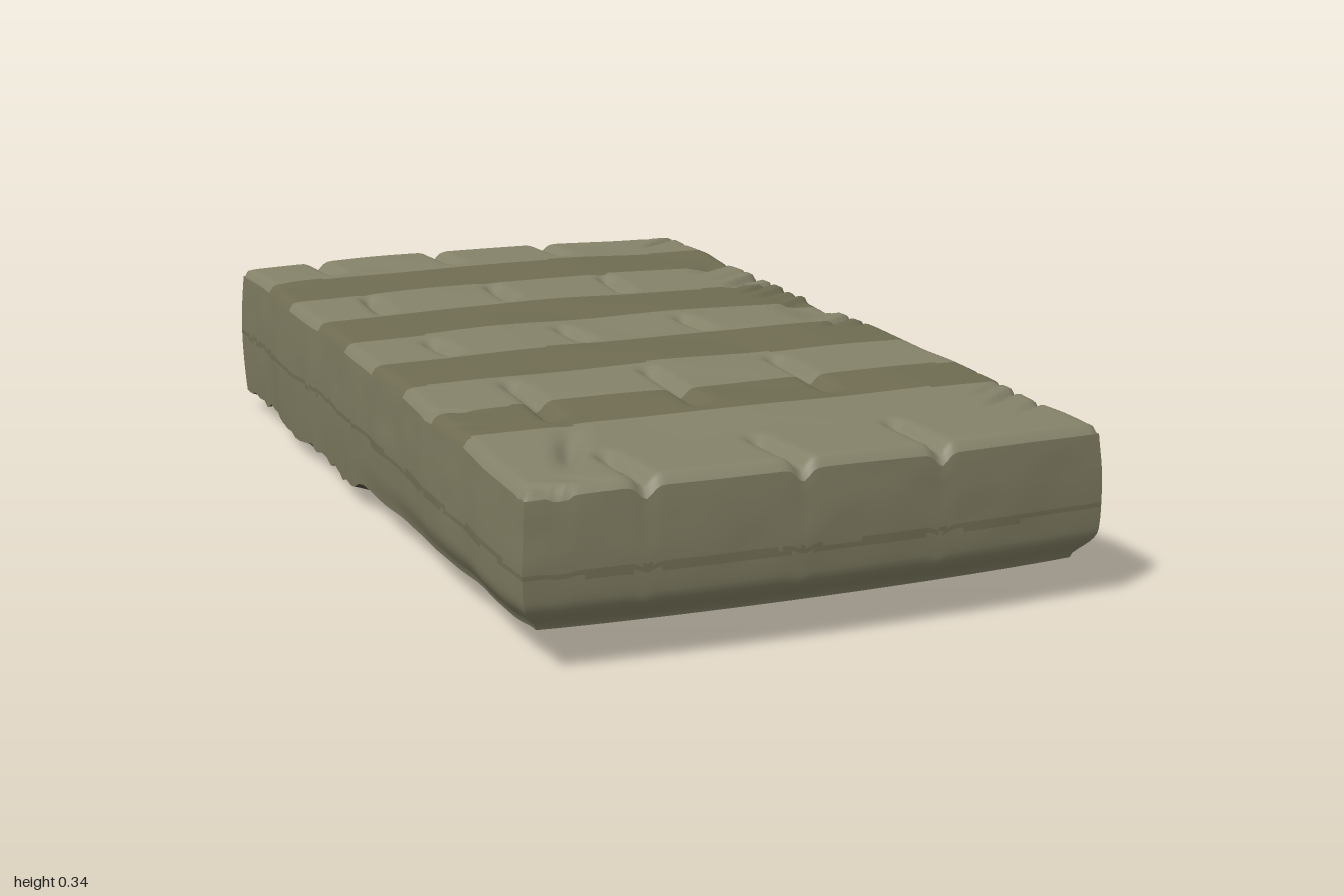
import * as THREE from 'three';

// Smooth value noise in 0..1
const hash = (i, j) => {
  const s = Math.sin(i * 127.1 + j * 311.7) * 43758.5453;
  return s - Math.floor(s);
};
function noise(x, y) {
  const i = Math.floor(x), j = Math.floor(y);
  const f = x - i, g = y - j;
  const a = f * f * (3 - 2 * f), b = g * g * (3 - 2 * g);
  const lo = hash(i, j) + (hash(i + 1, j) - hash(i, j)) * a;
  const hi = hash(i, j + 1) + (hash(i + 1, j + 1) - hash(i, j + 1)) * a;
  return lo + (hi - lo) * b;
}
const step = THREE.MathUtils.smoothstep;
const lerp = THREE.MathUtils.lerp;
const inside = (t, [a, b]) => t > a && t < b;

// Slightly skewed rectangular plan, u and v run -1..1
function plan(u, v) {
  const left = -0.53 - 0.027 * v - 0.008 * v * v + 0.01 * (noise(v * 9, 3) - 0.5);
  const right = 0.55 - 0.012 * v - 0.007 * v * v + 0.01 * (noise(v * 9, 7) - 0.5);
  const front = 0.965 + 0.025 * (1 - u * u);
  const back = -0.978 + 0.008 * u - 0.018 * (1 - u * u);
  return [lerp(left, right, (u + 1) / 2), lerp(back, front, (v + 1) / 2)];
}

// Roof folds: three lines of grooves, broken by the cross straps
const grooveX = [-0.35, -0.065, 0.205];
const grooveZ = [[-1.1, -0.8], [-0.6, -0.37], [-0.15, 0.04], [0.25, 0.6], [0.78, 1.1]];
const straps = [[-0.78, -0.59], [-0.37, -0.17], [0.04, 0.24], [0.45, 0.62]];

function roofHeight(u, v) {
  const [x, z] = plan(u, v);
  let y = 0.327 + 0.006 * (1 - u * u) + 0.006 * (noise(x * 5, z * 5) - 0.5);
  for (const gx of grooveX) {
    const across = Math.exp(-(((x - gx - 0.012 * Math.sin(z * 6)) / 0.016) ** 2));
    for (const [a, b] of grooveZ) {
      y -= 0.022 * across * step(z, a, a + 0.06) * (1 - step(z, b - 0.06, b));
    }
  }
  // Diagonal fold at the front corner
  y -= 0.02 * Math.exp(-(((x + 0.4 + (z - 0.75) * 0.4) / 0.022) ** 2) - ((z - 0.76) / 0.09) ** 2);
  // Gathered wrinkles along the long edges
  const gather = step(Math.abs(x), 0.4, 0.5) * step(noise(z * 4, u > 0 ? 5 : 9), 0.4, 0.7);
  y -= 0.016 * gather * step(noise(z * 34 + Math.abs(x) * 24, u > 0 ? 1 : 2), 0.5, 0.9);
  // Rounded rim
  const r = 0.025;
  const d = Math.min(r, (1 - Math.abs(u)) * 0.54, (1 - Math.abs(v)) * 0.98);
  return y - 0.7 * (r - Math.sqrt(Math.max(0, r * r - (r - d) ** 2)));
}

// Lower edge of the walls, torn towards the back
function hemHeight(u, v) {
  const torn = step(-v, 0.03, 0.12);
  return 0.062 + 0.012 * step(v, 0.85, 1) - torn * (0.012 + 0.02 * noise(v * 30, u * 30 + 5));
}

// Wall bulge by height: tucked in below, most of all at the front
function wallPoint(u, v, t) {
  const [x, z] = plan(u, v);
  const tuck = 0.03 * step(v, -0.2, 1) * (1 - step(t, 0, 0.3)) ** 2;
  const puff = 0.007 * Math.sin(Math.PI * t) + 0.006 * t * (noise((x + z) * 12, t * 4) - 0.5) * Math.sin(Math.PI * t);
  const k = puff - tuck;
  const y = lerp(hemHeight(u, v), roofHeight(u, v), t);
  return [x + k * u ** 7, y, z + k * v ** 7];
}

// Underside: radial folds around a point behind the middle, rough at the back
function underPoint(u, v) {
  const [bx, , bz] = wallPoint(u, v, 0);
  const rim = step(1 - Math.max(Math.abs(u), Math.abs(v)), 0, 0.12);
  const dx = bx, dz = bz + 0.2;
  const angle = Math.atan2(dz, dx), radius = Math.hypot(dx, dz);
  const fold = noise((angle + 4) * 13, radius * 4);
  const shred = noise(bx * 34, bz * 34);
  const rough = step(-bz, 0.02, 0.1);
  const sink = rough * (0.052 * step(0.6 * fold + 0.4 * shred, 0.35, 0.75) - 0.012)
    * (1 - 0.5 * step(-bz, 0.65, 0.95));
  const smooth = (1 - rough) * 0.01 * (fold - 0.5);
  return [bx, Math.max(0, hemHeight(u, v) - rim * (sink + smooth)), bz];
}

// Grid surface; kind(point) gives a material index, or -1 for an opening
function sheet(name, nu, nv, fn, materials, kind = () => 0) {
  const pos = [], faces = materials.map(() => []);
  for (let j = 0; j <= nv; j++) {
    for (let i = 0; i <= nu; i++) pos.push(...fn(i / nu, j / nv));
  }
  for (let j = 0; j < nv; j++) {
    for (let i = 0; i < nu; i++) {
      const a = j * (nu + 1) + i, b = a + 1, c = a + nu + 1, d = c + 1;
      const mid = [0, 1, 2].map((k) => (pos[a * 3 + k] + pos[d * 3 + k]) / 2);
      const m = kind(mid);
      if (m >= 0) faces[m].push(a, c, b, b, c, d);
    }
  }
  const geo = new THREE.BufferGeometry();
  geo.setAttribute('position', new THREE.Float32BufferAttribute(pos, 3));
  geo.setIndex(faces.flat());
  let start = 0;
  faces.forEach((f, m) => {
    geo.addGroup(start, f.length, m);
    start += f.length;
  });
  geo.computeVertexNormals();
  const mesh = new THREE.Mesh(geo, materials);
  mesh.name = name;
  return mesh;
}

export function createModel() {
  const group = new THREE.Group();
  group.name = 'canvasShelter';
  const paint = (color) => new THREE.MeshStandardMaterial({ color, side: THREE.DoubleSide });
  const canvas = paint(0x85826a), strap = paint(0x6f6c52), wall = paint(0x7c795f);
  const seam = paint(0x716d54), pane = paint(0xa3a39e), under = paint(0x4f4a3f);

  // Roof with darker cross straps
  group.add(sheet('roof', 130, 200, (a, b) => {
    const u = a * 2 - 1, v = b * 2 - 1;
    const [x, z] = plan(u, v);
    return [x, roofHeight(u, v), z];
  }, [canvas, strap], ([, , z]) => (straps.some((s) => inside(z, s)) ? 1 : 0)));

  // Walls: the left one has two panes and two openings
  const isSeam = (y) => inside(y, [0.172, 0.182]);
  const panes = [[0.59, 0.79], [0.17, 0.36]];
  const openings = [[-0.24, -0.06], [-0.67, -0.47]];
  const leftKind = ([, y, z]) => {
    if (inside(y, [0.18, 0.268])) {
      if (openings.some((o) => inside(z, o))) return -1;
      if (panes.some((p) => inside(z, p))) return 2;
    }
    return isSeam(y) ? 1 : 0;
  };
  const plainKind = ([, y]) => (isSeam(y) ? 1 : 0);
  const walls = [
    ['leftWall', 200, (s) => [1, s], leftKind],
    ['rightWall', 200, (s) => [-1, -s], plainKind],
    ['frontWall', 130, (s) => [-s, 1], plainKind],
    ['backWall', 130, (s) => [s, -1], plainKind],
  ];
  for (const [name, n, edge, kind] of walls) {
    group.add(sheet(name, n, 28, (a, t) => wallPoint(...edge(a * 2 - 1), t), [wall, seam, pane], kind));
  }

  // Torn, folded underside
  group.add(sheet('underside', 110, 180, (a, b) => underPoint(1 - a * 2, b * 2 - 1), [under]));
  return group;
}
